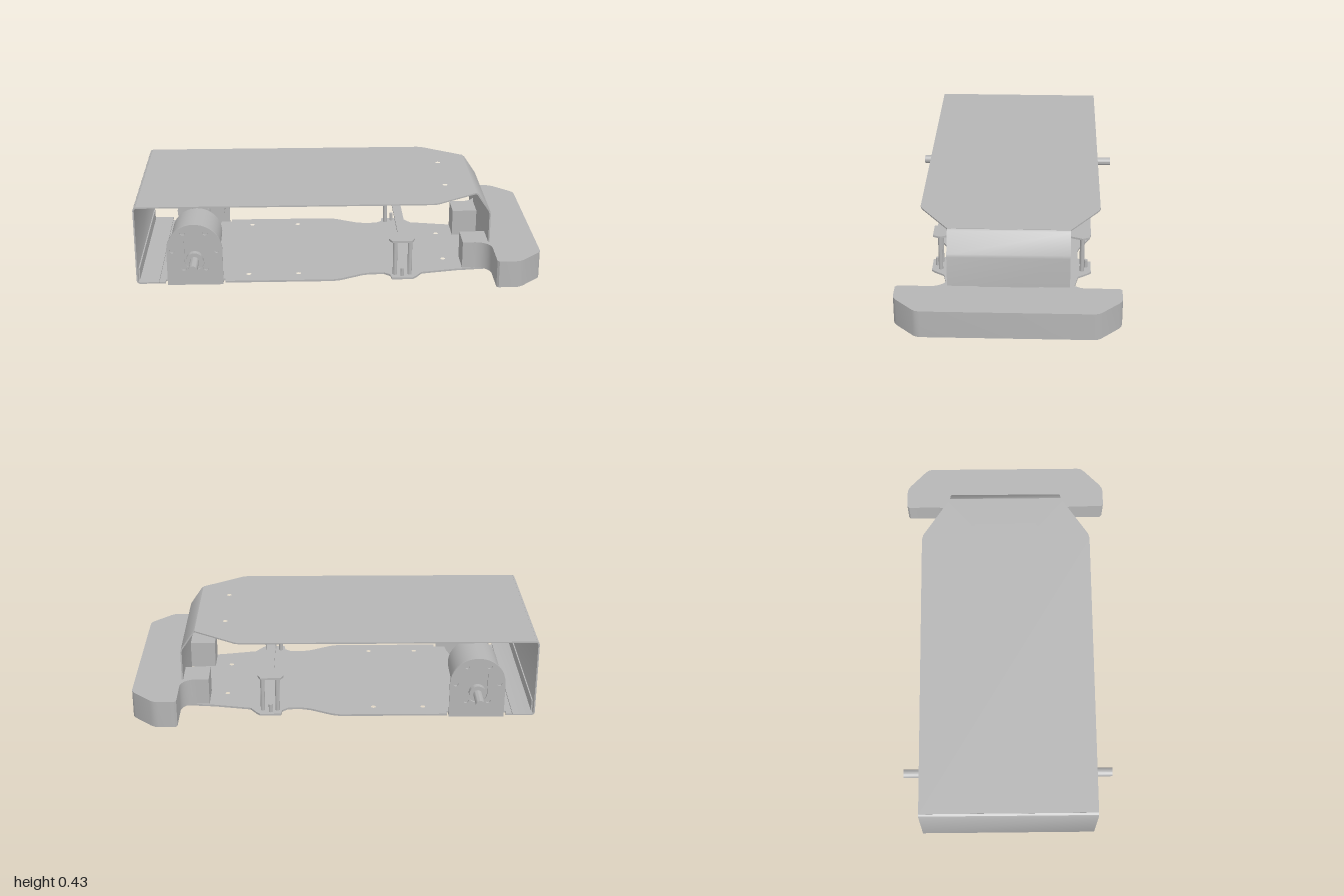
import * as THREE from 'three';
import { toCreasedNormals } from 'three/addons/utils/BufferGeometryUtils.js';

const grey = new THREE.MeshStandardMaterial({ color: 0xb6b6b6 });
grey.name = 'plain grey';

function add(parent, name, geometry) {
  const mesh = new THREE.Mesh(toCreasedNormals(geometry, 0.6), grey);
  mesh.name = name;
  parent.add(mesh);
  return mesh;
}

const polygon = (points) => new THREE.Shape(points.map(([x, y]) => new THREE.Vector2(x, y)));

// Closed outline from one half (z >= 0), mirrored to the other
const mirrored = (half) => polygon([...half, ...half.map(([x, z]) => [x, -z]).reverse()]);

function punch(shape, x, y, r) {
  shape.holes.push(new THREE.Path().absarc(x, y, r, 0, Math.PI * 2, true));
}

const extrude = (shape, depth) =>
  new THREE.ExtrudeGeometry(shape, { depth, bevelEnabled: false, curveSegments: 20 });

// Horizontal plate drawn in x and z, with its top face at the given height
function plate(shape, top, thick) {
  return extrude(shape, thick).rotateX(Math.PI / 2).translate(0, top, 0);
}

// Bent sheet: a path in x and y, thickened and swept along z
function bentSheet(path, thick, halfWidth) {
  const p = path.map(([x, y]) => new THREE.Vector2(x, y));
  const offset = (side) => p.map((pt, i) => {
    const normals = [];
    if (i > 0) normals.push(pt.clone().sub(p[i - 1]).normalize());
    if (i < p.length - 1) normals.push(p[i + 1].clone().sub(pt).normalize());
    const n = normals.map((d) => new THREE.Vector2(-d.y, d.x));
    const sum = n.reduce((a, b) => a.clone().add(b)).normalize();
    return pt.clone().addScaledVector(sum, side * thick / 2 / sum.dot(n[0]));
  });
  const shape = new THREE.Shape([...offset(1), ...offset(-1).reverse()]);
  return extrude(shape, halfWidth * 2).translate(0, 0, -halfWidth);
}

// Cylinder along z
function rod(r, z0, z1, x, y) {
  return new THREE.CylinderGeometry(r, r, z1 - z0, 32).rotateX(Math.PI / 2).translate(x, y, (z0 + z1) / 2);
}

// Upright post
function post(r, y0, y1, x, z) {
  return new THREE.CylinderGeometry(r, r, y1 - y0, 20).translate(x, (y0 + y1) / 2, z);
}

function buildCover() {
  const g = new THREE.Group();
  g.name = 'cover';
  const top = mirrored([[-0.985, 0.435], [0.46, 0.435], [0.485, 0.428], [0.675, 0.3], [0.69, 0.29]]);
  for (const s of [-1, 1]) punch(top, 0.545, s * 0.17, 0.012);
  add(g, 'coverTop', plate(top, 0.43, 0.007));
  add(g, 'coverRear', bentSheet(
    [[-0.89, 0.03], [-0.983, 0.03], [-0.992, 0.033], [-0.9965, 0.042],
      [-0.9965, 0.413], [-0.993, 0.422], [-0.984, 0.4265]], 0.007, 0.435));
  add(g, 'coverNose', bentSheet(
    [[0.685, 0.4265], [0.697, 0.42], [0.758, 0.329], [0.7615, 0.315], [0.7615, 0.024]], 0.007, 0.29));
  return g;
}

function buildFloor() {
  const g = new THREE.Group();
  g.name = 'floor';
  // Outline with notches for the motor mounts and tabs for the crossbar posts
  const shape = mirrored([
    [-0.99, 0.41], [-0.86, 0.41], [-0.86, 0.382], [-0.565, 0.382], [-0.565, 0.41],
    [-0.03, 0.41], [0.01, 0.4], [0.12, 0.345], [0.16, 0.335], [0.23, 0.335], [0.26, 0.36],
    [0.265, 0.4], [0.37, 0.4], [0.385, 0.385], [0.42, 0.335], [0.6, 0.3], [0.745, 0.285]]);
  for (const s of [-1, 1]) {
    for (const [x, z] of [[-0.45, 0.33], [-0.2, 0.33], [0.545, 0.17]]) punch(shape, x, s * z, 0.012);
  }
  add(g, 'floorPlate', plate(shape, 0.0235, 0.0095));
  add(g, 'floorRearLip', new THREE.BoxGeometry(0.006, 0.075, 0.8).translate(-0.989, 0.055, 0));
  return g;
}

// Motor, mount and axle on the +z side
function buildDrive() {
  const g = new THREE.Group();
  const cx = -0.713, cy = 0.183, r = 0.138;

  // Upright mount with an arched top, a slot and a ring of screw holes
  const face = new THREE.Shape();
  face.moveTo(cx - r, 0);
  face.lineTo(cx + r, 0);
  face.lineTo(cx + r, cy);
  face.absarc(cx, cy, r, 0, Math.PI, false);
  face.closePath();
  const slot = new THREE.Path();
  slot.absarc(cx, 0.228, 0.05, 0, Math.PI, false);
  slot.absarc(cx, 0.13, 0.05, Math.PI, Math.PI * 2, false);
  slot.closePath();
  face.holes.push(slot);
  for (const s of [-1, 1]) {
    for (const [dx, y] of [[0.055, 0.277], [0.109, 0.183], [0.055, 0.089]]) punch(face, cx + s * dx, y, 0.0125);
  }
  add(g, 'mountFace', extrude(face, 0.012).translate(0, 0, 0.386));

  // Foot of the mount below the floor
  const foot = polygon([[cx - r, 0.39], [cx - r, 0.13], [cx - r + 0.02, 0.11],
    [cx + r - 0.02, 0.11], [cx + r, 0.13], [cx + r, 0.39]]);
  for (const s of [-1, 1]) {
    for (const z of [0.16, 0.33]) punch(foot, cx + s * 0.09, z, 0.012);
  }
  add(g, 'mountFoot', plate(foot, 0.013, 0.01));

  add(g, 'motorBody', rod(0.125, 0.14, 0.386, cx, cy));
  add(g, 'motorEndCap', rod(0.05, 0.09, 0.14, cx, cy));
  add(g, 'shaftCollar', rod(0.042, 0.38, 0.415, cx, 0.135));
  add(g, 'shaft', rod(0.022, 0.4, 0.531, cx, 0.135));
  return g;
}

function buildCrossbar() {
  const g = new THREE.Group();
  g.name = 'crossbar';
  const half = [[0.25, 0.355], [0.265, 0.39], [0.365, 0.39], [0.38, 0.355], [0.345, 0.27], [0.345, 0]];
  const bar = mirrored([[0.3, 0], [0.3, 0.27], ...half]);
  add(g, 'crossbarPlate', plate(bar, 0.217, 0.01));
  for (const s of [-1, 1]) {
    for (const x of [0.283, 0.357]) add(g, 'standoff', post(0.011, 0.02, 0.21, x, s * 0.355));
    add(g, 'shortPost', post(0.009, 0.02, 0.065, 0.318, s * 0.375));
  }
  return g;
}

function buildBumper() {
  // Half outline from the inner gap, round the leg and fillet, to the front
  const fillet = [];
  for (let i = 0; i <= 8; i++) {
    const a = -Math.PI / 2 + (i / 8) * Math.PI / 2;
    fillet.push([0.693 + 0.077 * Math.cos(a), 0.367 + 0.077 * Math.sin(a)]);
  }
  const shape = mirrored([
    [0.77, 0.145], [0.63, 0.145], [0.63, 0.29], ...fillet,
    [0.77, 0.525], [0.78, 0.535], [0.86, 0.535], [0.88, 0.531], [0.9, 0.518],
    [0.985, 0.435], [0.996, 0.42], [1, 0.4]]);
  return plate(shape, 0.163, 0.138);
}

export function createModel() {
  const model = new THREE.Group();
  model.name = 'wheeledChassis';
  model.add(buildCover(), buildFloor(), buildCrossbar());
  add(model, 'bumper', buildBumper());

  // The two drives are half-turn copies of each side, kept at the same x
  for (const side of [1, -1]) {
    const drive = buildDrive();
    drive.name = side > 0 ? 'frontDrive' : 'backDrive';
    drive.scale.z = side;
    model.add(drive);
  }
  return model;
}
